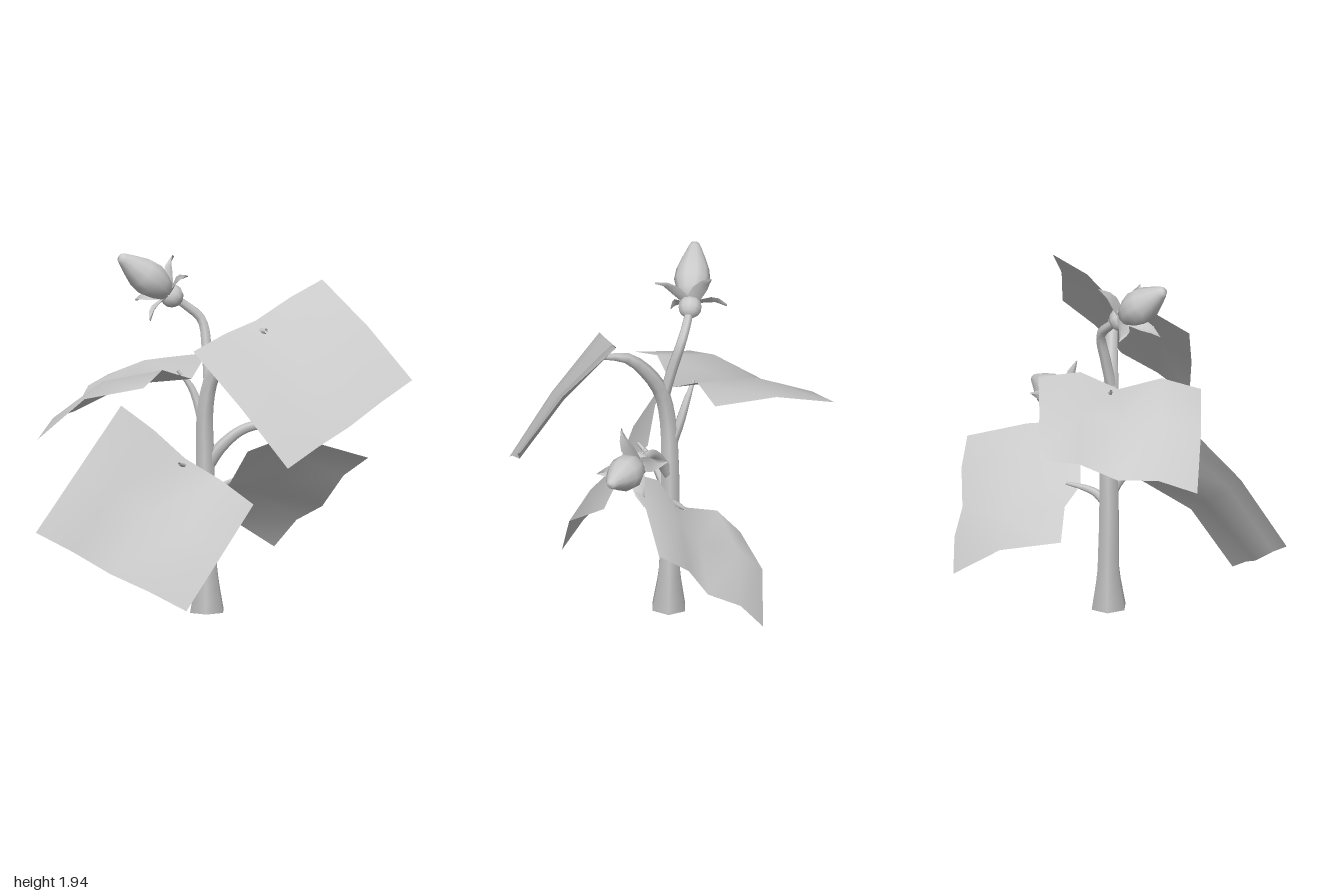
import * as THREE from 'three';

const material = new THREE.MeshStandardMaterial({ color: 0xcccccc });
const thin = new THREE.MeshStandardMaterial({ color: 0xcccccc, side: THREE.DoubleSide });
const vec = (p) => new THREE.Vector3(...p);

function mesh(name, geometry, mat = material) {
  const m = new THREE.Mesh(geometry, mat);
  m.name = name;
  return m;
}

// Tapered six-sided tube; every point is [x, y, z, radius]
function stem(name, points, steps = 10) {
  const sides = 6;
  const curve = new THREE.CatmullRomCurve3(points.map((p) => vec(p.slice(0, 3))));
  const geo = new THREE.TubeGeometry(curve, steps, 1, sides);
  const pos = geo.attributes.position;
  const v = new THREE.Vector3();
  for (let i = 0; i <= steps; i++) {
    const centre = curve.getPointAt(i / steps);
    const t = curve.getUtoTmapping(i / steps) * (points.length - 1);
    const k = Math.min(Math.floor(t), points.length - 2);
    const radius = THREE.MathUtils.lerp(points[k][3], points[k + 1][3], t - k);
    for (let j = 0; j <= sides; j++) {
      const n = i * (sides + 1) + j;
      v.fromBufferAttribute(pos, n).sub(centre).multiplyScalar(radius).add(centre);
      pos.setXYZ(n, v.x, v.y, v.z);
    }
  }
  return mesh(name, geo, thin);
}

// Square leaf between four corners, arched along its length, creased down the
// middle and raised by "wave" on both sides of the crease
function leaf(name, corners, { left = 0.04, right = 0.085, crease = 0.06, wave = 0 } = {}) {
  const [a, b, c, d] = corners.map(vec);
  const across = b.clone().sub(a).add(d).sub(c);
  const along = c.clone().sub(a).add(d).sub(b);
  const normal = along.cross(across).normalize();
  const geo = new THREE.PlaneGeometry(1, 1, 4, 2);
  const pos = geo.attributes.position;
  const bend = [0, wave, -crease, wave, 0];
  for (let i = 0; i < pos.count; i++) {
    const u = pos.getX(i) + 0.5;
    const v = 0.5 - pos.getY(i);
    const arch = (1 - (2 * v - 1) ** 2) * THREE.MathUtils.lerp(left, right, u);
    const offset = arch + bend[Math.round(u * 4)] * (1 - 0.45 * v);
    const p = a.clone().lerp(b, u).lerp(c.clone().lerp(d, u), v).addScaledVector(normal, offset);
    pos.setXYZ(i, p.x, p.y, p.z);
  }
  geo.computeVertexNormals();
  return mesh(name, geo, thin);
}

// Pointed sepal pointing out along +x from the bud axis (y)
function sepalGeometry() {
  const outline = [[0.03, 0.04, 0.035], [0.1, 0.042, 0.07], [0.155, 0.026, 0.085], [0.22, 0, 0.08]];
  const positions = [];
  const index = [];
  outline.forEach(([x, w, y], i) => {
    positions.push(x, y, w, x, y - 0.012, 0, x, y, -w);
    if (i === 0) return;
    for (let j = 0; j < 2; j++) {
      const q = 3 * i + j;
      index.push(q - 3, q, q - 2, q - 2, q, q + 1);
    }
  });
  const geo = new THREE.BufferGeometry();
  geo.setAttribute('position', new THREE.Float32BufferAttribute(positions, 3));
  geo.setIndex(index);
  geo.computeVertexNormals();
  return geo;
}

// Closed bud with a round base and four sepals, aimed from base to tip
function bud(name, base, tip, phase) {
  const group = new THREE.Group();
  group.name = name;
  const axis = vec(tip).sub(vec(base));
  const length = axis.length();
  axis.normalize();
  const up = new THREE.Vector3(0, 1, 0).addScaledVector(axis, -axis.y).normalize();
  group.quaternion.setFromRotationMatrix(
    new THREE.Matrix4().makeBasis(up, axis, up.clone().cross(axis)));
  group.position.set(...base);

  group.add(mesh('budBase', new THREE.SphereGeometry(0.063, 10, 7)));
  const profile = [[0, 0.08], [0.05, 0.1], [0.078, 0.25], [0.096, 0.42], [0.088, 0.58],
    [0.06, 0.77], [0.034, 0.93], [0.022, 0.985], [0, 1]];
  group.add(mesh('budBody', new THREE.LatheGeometry(
    profile.map(([r, t]) => new THREE.Vector2(r, t * length)), 10)));
  const geo = sepalGeometry();
  for (let k = 0; k < 4; k++) {
    const s = mesh('sepal', geo, thin);
    s.rotation.y = -(phase + k * Math.PI / 2);
    group.add(s);
  }
  return group;
}

export function createModel() {
  const model = new THREE.Group();
  model.name = 'plant';

  // Main stem, curving forward at the top
  model.add(stem('mainStem', [
    [0.067, 0, 0.017, 0.1], [0.067, 0.2, 0.014, 0.064], [0.06, 0.5, 0.01, 0.058],
    [0.06, 0.8, 0.01, 0.055], [0.055, 1.1, 0.023, 0.048], [0.08, 1.28, 0.06, 0.043],
    [0.135, 1.43, 0.145, 0.037], [0.185, 1.525, 0.24, 0.029], [0.24, 1.557, 0.37, 0.014]], 24));
  const foot = mesh('stemFoot', new THREE.CircleGeometry(0.098, 6));
  foot.rotation.x = Math.PI / 2;
  foot.position.set(0.067, 0.001, 0.017);
  model.add(foot);

  // Leaf stalks
  model.add(stem('leftLeafStalk', [
    [0.06, 0.63, 0.02, 0.03], [0.01, 0.73, 0.055, 0.026], [-0.08, 0.8, 0.11, 0.018], [-0.18, 0.845, 0.18, 0.008]]));
  model.add(stem('rightLeafStalk', [
    [0.07, 0.59, 0, 0.028], [0.13, 0.64, -0.01, 0.022], [0.19, 0.662, -0.03, 0.017], [0.28, 0.682, -0.07, 0.008]]));
  model.add(stem('backLeafStalk', [
    [0.06, 0.96, 0, 0.03], [0.05, 1.09, -0.045, 0.026], [0.02, 1.2, -0.08, 0.02], [-0.04, 1.285, -0.115, 0.008]]));

  // Bud stalks
  model.add(stem('topBudStalk', [
    [0.065, 1.24, 0.04, 0.03], [0.075, 1.4, 0, 0.03], [0.07, 1.56, -0.05, 0.027],
    [-0.01, 1.64, -0.08, 0.024], [-0.085, 1.695, -0.095, 0.022]], 14));
  model.add(stem('sideBudStalk', [
    [0.065, 0.77, 0.01, 0.035], [0.13, 0.89, 0.06, 0.032], [0.24, 0.985, 0.11, 0.026], [0.42, 1.02, 0.175, 0.024]], 14));

  // Buds
  model.add(bud('topBud', [-0.085, 1.695, -0.095], [-0.382, 1.93, -0.12], 1.0));
  model.add(bud('sideBud', [0.42, 1.02, 0.175], [0.75, 1.055, 0.325], -0.35));

  // Leaves: two stem-side corners, then two far corners
  model.add(leaf('frontLeaf', [[-0.2, 1.487, 0.385], [0.61, 1.79, 0.295],
    [0.12, 0.91, 0.86], [0.888, 1.31, 0.8]], { left: 0.02, right: 0.035 }));
  model.add(leaf('leftLeaf', [[-0.433, 1.15, 0], [0.17, 0.626, 0.36],
    [-1, 0.535, 0.12], [-0.342, 0.134, 0.584]]));
  model.add(leaf('backLeaf', [[0.348, 1.32, -0.23], [-0.4, 1.275, 0.198],
    [-0.075, 1.138, -0.86], [-0.75, 0.932, -0.356]], { crease: 0.045, wave: 0.055 }));
  model.add(leaf('rightLeaf', [[0.33, 0.93, 0.26], [0.118, 0.47, -0.36],
    [1, 0.754, 0.064], [0.72, 0.205, -0.485]], { crease: 0.045, wave: 0.05 }));
  return model;
}
